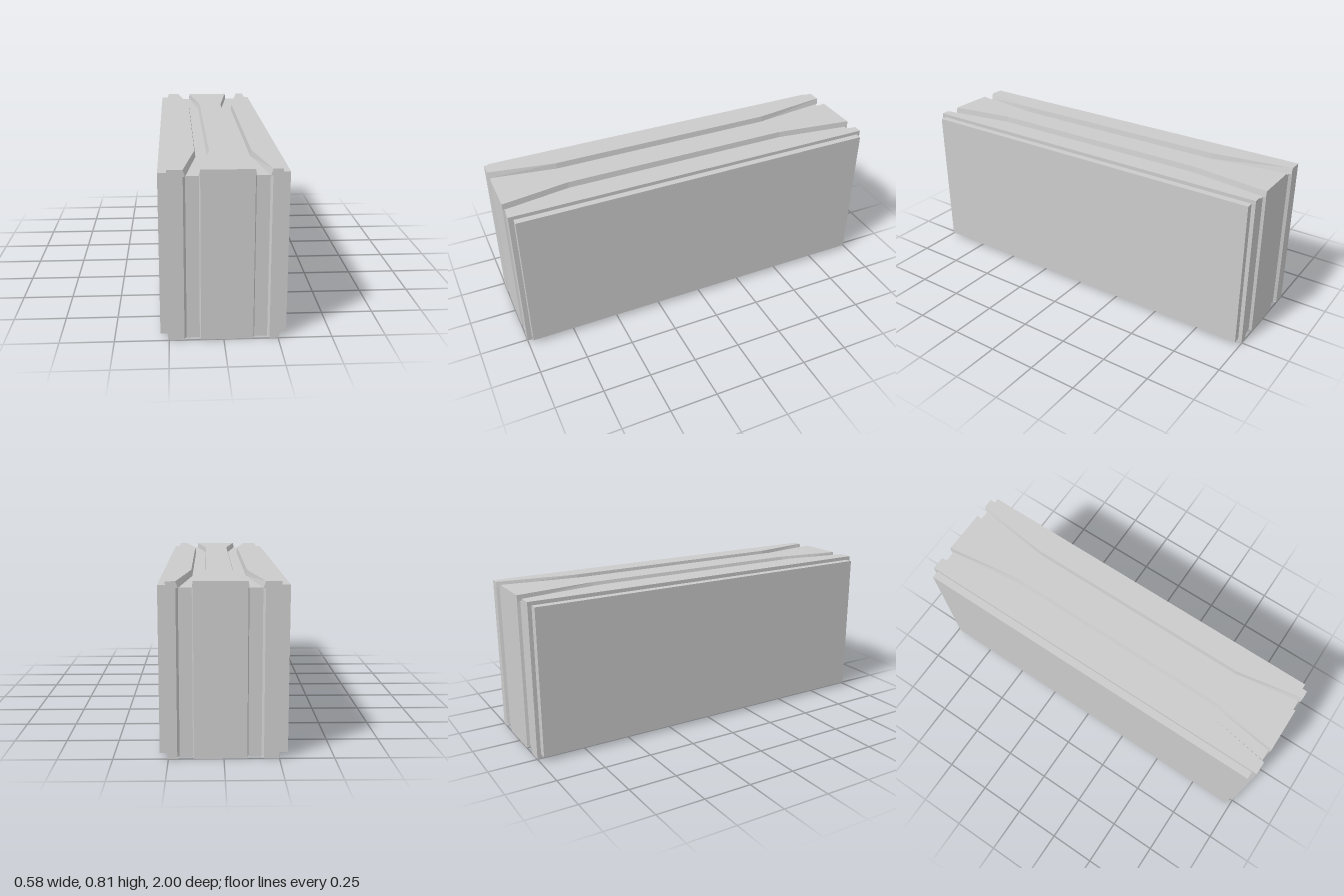
import * as THREE from 'three';

const material = new THREE.MeshStandardMaterial({ color: 0xcccccc, flatShading: true });

// Overall limits of the body and of the groove floors
const X0 = -0.25, X1 = 0.255, H = 0.805;
const FLOOR_TOP = 0.775, FLOOR_BOTTOM = 0.008, FLOOR_BACK = -0.985, FLOOR_FRONT = 0.99;

// Ribs between the grooves: [face left, face right, base left, base right]
// at the ends, and at the pinched middle of the top
const ribs = [
  { name: 'RightRib', end: [X0, -0.18, X0, -0.17], mid: [X0, -0.12, X0, -0.115] },
  { name: 'CentreRib', end: [-0.105, 0.135, -0.11, 0.14], mid: [-0.05, 0.08, -0.06, 0.085] },
  { name: 'LeftRib', end: [0.21, X1, 0.2, X1], mid: [0.15, X1, 0.145, X1] },
];

// Joins four-cornered sections into a closed solid with flat faces
function loft(sections) {
  const tris = [];
  const quad = (a, b, c, d) => tris.push([a, b, c], [a, c, d]);
  quad(...sections[0].slice().reverse());
  quad(...sections[sections.length - 1]);
  for (let i = 0; i < sections.length - 1; i++) {
    const s = sections[i], t = sections[i + 1];
    for (let k = 0; k < 4; k++) {
      const n = (k + 1) % 4;
      quad(s[k], s[n], t[n], t[k]);
    }
  }
  // Turn the faces outward if the enclosed volume comes out negative
  const volume = tris.reduce((sum, [a, b, c]) => sum + a.dot(b.clone().cross(c)), 0);
  if (volume < 0) tris.forEach((t) => t.reverse());
  const geometry = new THREE.BufferGeometry().setFromPoints(tris.flat());
  geometry.computeVertexNormals();
  return geometry;
}

// Trapezoid section: place(x, depth) puts a point on the face or the base
function section([f0, f1, b0, b1], face, base, place) {
  return [place(f0, face), place(f1, face), place(b1, base), place(b0, base)];
}

export function createModel() {
  const group = new THREE.Group();
  const add = (name, geometry) => {
    const mesh = new THREE.Mesh(geometry, material);
    mesh.name = name;
    group.add(mesh);
  };
  const addBox = (name, x0, x1, y0, y1, z0, z1) => {
    const box = new THREE.BoxGeometry(x1 - x0, y1 - y0, z1 - z0);
    box.translate((x0 + x1) / 2, (y0 + y1) / 2, (z0 + z1) / 2);
    add(name, box);
  };

  // Core, whose faces are the groove floors
  addBox('core', X0, X1, FLOOR_BOTTOM, FLOOR_TOP, FLOOR_BACK, FLOOR_FRONT);

  // Large side panels
  addBox('rightPanel', -0.29, X0, 0.022, 0.786, -0.98, 0.975);
  addBox('leftPanel', X1, 0.29, 0.022, 0.786, -0.98, 0.975);

  for (const { name, end, mid } of ribs) {
    // Top ribs bend inward to a straight middle stretch
    const stations = [[-1, end], [-0.58, mid], [0.65, mid], [1, end]];
    add('top' + name, loft(stations.map(([z, xs]) =>
      section(xs, H, FLOOR_TOP, (x, y) => new THREE.Vector3(x, y, z)))));

    // Bottom ribs run straight
    add('bottom' + name, loft([-1, 1].map((z) =>
      section(end, 0, FLOOR_BOTTOM, (x, y) => new THREE.Vector3(x, y, z)))));

    // Upright ribs on both ends
    for (const [side, face, base] of [['front', 1, FLOOR_FRONT], ['back', -1, FLOOR_BACK]]) {
      add(side + name, loft([FLOOR_BOTTOM, FLOOR_TOP].map((y) =>
        section(end, face, base, (x, z) => new THREE.Vector3(x, y, z)))));
    }
  }
  return group;
}
